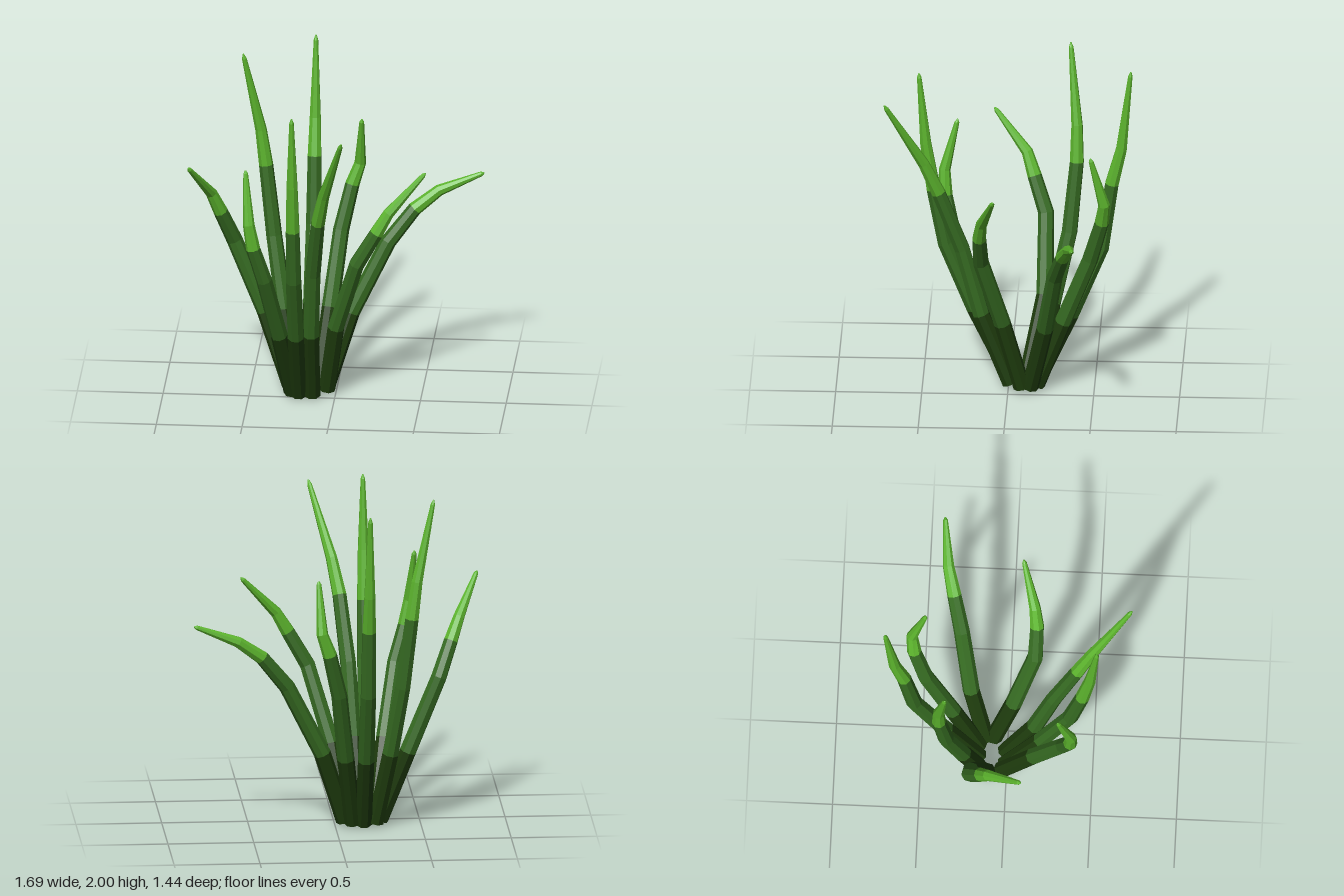
import * as THREE from 'three';

const SIDES = 8;
// Blade radius at each ring, from root to tip
const RADII = [0.05, 0.05, 0.047, 0.042, 0.034, 0.014, 0.004];

// Centre line of each blade: root, end of dark part, bend, start of light part, upper bend, tip
const BLADES = {
  backBlade: [[-0.165, 0.025, -0.165], [-0.165, 0.45, -0.36], [-0.165, 0.88, -0.54], [-0.165, 1.28, -0.6], [-0.165, 1.5, -0.655], [-0.165, 1.99, -0.71]],
  backLeftBlade: [[-0.1, 0.03, -0.165], [-0.05, 0.45, -0.32], [0.0, 0.87, -0.48], [0.06, 1.13, -0.55], [0.105, 1.26, -0.565], [0.12, 1.56, -0.485]],
  leftLongBlade: [[-0.055, 0.035, -0.13], [0.08, 0.46, -0.22], [0.29, 0.88, -0.285], [0.44, 1.07, -0.335], [0.58, 1.175, -0.375], [0.84, 1.28, -0.405]],
  leftBlade: [[-0.05, 0.035, -0.08], [0.01, 0.46, 0.03], [0.14, 0.9, 0.15], [0.255, 1.1, 0.155], [0.325, 1.22, 0.14], [0.535, 1.45, 0.065]],
  frontLeftBlade: [[-0.13, 0.025, -0.01], [-0.125, 0.46, 0.16], [-0.105, 0.88, 0.27], [-0.065, 1.25, 0.405], [-0.025, 1.45, 0.49], [0.095, 1.865, 0.715]],
  frontBlade: [[-0.21, 0.025, -0.01], [-0.21, 0.46, 0.2], [-0.21, 0.87, 0.37], [-0.21, 1.21, 0.44], [-0.21, 1.5, 0.485], [-0.21, 1.94, 0.525]],
  frontRightBlade: [[-0.25, 0.03, -0.03], [-0.31, 0.45, 0.16], [-0.385, 0.86, 0.335], [-0.445, 1.07, 0.38], [-0.47, 1.22, 0.385], [-0.495, 1.53, 0.31]],
  rightBlade: [[-0.265, 0.035, -0.11], [-0.42, 0.46, -0.2], [-0.6, 0.9, -0.2], [-0.675, 1.1, -0.13], [-0.725, 1.23, -0.085], [-0.845, 1.455, 0.11]],
  backRightBlade: [[-0.235, 0.03, -0.16], [-0.315, 0.46, -0.25], [-0.38, 0.88, -0.345], [-0.43, 1.3, -0.385], [-0.46, 1.52, -0.385], [-0.56, 2.0, -0.345]],
};

// Closed tapering tube with mitred rings; material index per span
function bladeGeometry(points) {
  const path = points.map((p) => new THREE.Vector3(...p));
  const tip = path[path.length - 1];
  // Extra ring just below the tip blunts the point
  path.splice(path.length - 1, 0, path[path.length - 2].clone().lerp(tip, 0.94));

  const outward = path[2].clone().sub(path[0]).setY(0).normalize();
  const side = new THREE.Vector3(0, 1, 0).cross(outward);
  const positions = [];
  path.forEach((centre, i) => {
    const before = path[Math.max(i - 1, 0)], after = path[Math.min(i + 1, path.length - 1)];
    const tIn = centre.clone().sub(before).normalize();
    const t = after.clone().sub(centre).normalize().add(tIn).normalize();
    const u = t.clone().cross(side).normalize();
    const v = t.clone().cross(u);
    for (let j = 0; j < SIDES; j++) {
      const a = ((j + 0.5) / SIDES) * Math.PI * 2;
      const p = centre.clone()
        .addScaledVector(u, Math.cos(a) * RADII[i])
        .addScaledVector(v, Math.sin(a) * RADII[i]);
      positions.push(p.x, p.y, p.z);
    }
  });

  const index = [];
  const geometry = new THREE.BufferGeometry();
  const last = (path.length - 1) * SIDES;
  // Root cap
  for (let j = 1; j < SIDES - 1; j++) index.push(0, j + 1, j);
  // Walls
  const spanEnds = [];
  for (let i = 0; i < path.length - 1; i++) {
    for (let j = 0; j < SIDES; j++) {
      const k = (j + 1) % SIDES;
      const a = i * SIDES + j, b = i * SIDES + k;
      index.push(a, b, b + SIDES, a, b + SIDES, a + SIDES);
    }
    spanEnds.push(index.length);
  }
  // Tip cap
  for (let j = 1; j < SIDES - 1; j++) index.push(last, last + j, last + j + 1);

  // Dark base, mid green stem, light tip
  geometry.addGroup(0, spanEnds[0], 0);
  geometry.addGroup(spanEnds[0], spanEnds[2] - spanEnds[0], 1);
  geometry.addGroup(spanEnds[2], index.length - spanEnds[2], 2);
  geometry.setAttribute('position', new THREE.Float32BufferAttribute(positions, 3));
  geometry.setIndex(index);
  // Separate faces give the faceted look
  const faceted = geometry.toNonIndexed();
  faceted.computeVertexNormals();
  return faceted;
}

export function createModel() {
  const group = new THREE.Group();
  group.name = 'grassTuft';
  const materials = [['darkGreen', 0x1f3d0e], ['midGreen', 0x366b22], ['lightGreen', 0x5cb42d]].map(([name, color]) => {
    const material = new THREE.MeshStandardMaterial({ color });
    material.name = name;
    return material;
  });
  for (const [name, points] of Object.entries(BLADES)) {
    const blade = new THREE.Mesh(bladeGeometry(points), materials);
    blade.name = name;
    group.add(blade);
  }
  return group;
}
